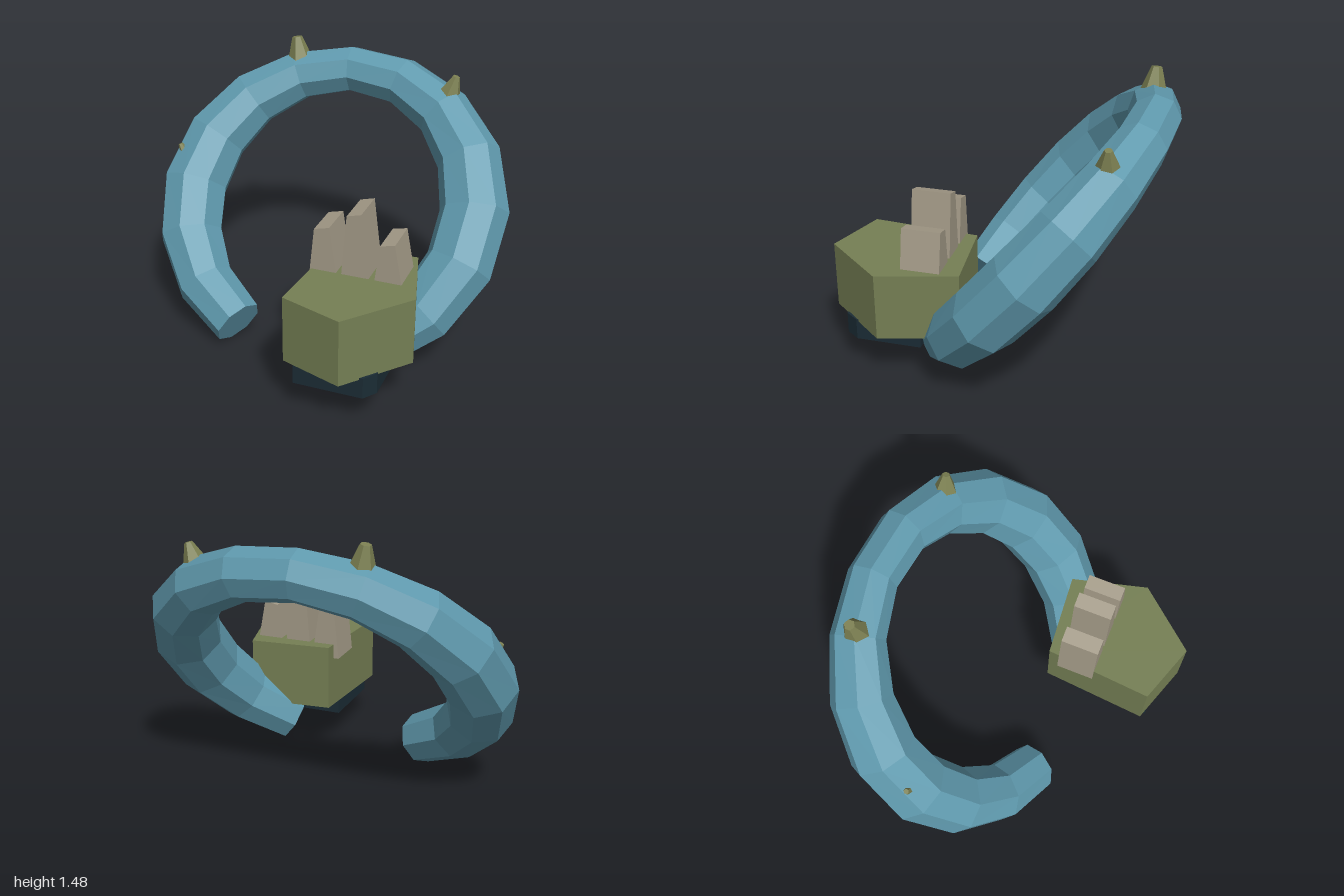
import * as THREE from 'three';

const material = (color) => new THREE.MeshStandardMaterial({ color, flatShading: true });
const BLUE = material(0x5f99ad);
const GREEN = material(0x757f54);
const OLIVE = material(0x7c8052);
const TAN = material(0xa39a87);
const DARK = material(0x1b2c35);

function addMesh(group, name, geometry, mat) {
  const mesh = new THREE.Mesh(geometry, mat);
  mesh.name = name;
  group.add(mesh);
  return mesh;
}

const shapeOf = (points) => new THREE.Shape(points.map(([x, y]) => new THREE.Vector2(x, y)));

// Upright prism from an [x, z] outline
function prism(outline, y0, y1) {
  const shape = shapeOf(outline.map(([x, z]) => [x, -z]));
  return new THREE.ExtrudeGeometry(shape, { depth: y1 - y0, bevelEnabled: false })
    .rotateX(-Math.PI / 2)
    .translate(0, y0, 0);
}

// Leaning open ring, thicker at its sides than at its top and ends
function ringGeometry() {
  const segments = 14, sides = 8;
  const start = THREE.MathUtils.degToRad(-58), end = THREE.MathUtils.degToRad(245);
  const step = (end - start) / segments;
  const center = new THREE.Vector3(0, 0.68, -0.2);
  const up = new THREE.Vector3(0, 0.76, -0.645).normalize();
  const normal = new THREE.Vector3(0, 0.645, 0.76).normalize();
  const radial = (a) => new THREE.Vector3(Math.cos(a), 0, 0).addScaledVector(up, Math.sin(a));
  const positions = [], index = [];

  for (let i = 0; i <= segments; i++) {
    const a = start + i * step;
    const c = center.clone().addScaledVector(radial(a), 0.812);
    const r = 0.13 + 0.057 * Math.cos(a) ** 2;
    const out = radial(THREE.MathUtils.clamp(a, start + step / 2, end - step / 2));
    for (let j = 0; j < sides; j++) {
      const t = (j / sides) * Math.PI * 2;
      const p = c.clone().addScaledVector(out, r * Math.cos(t)).addScaledVector(normal, r * Math.sin(t));
      positions.push(p.x, p.y, p.z);
    }
  }
  for (let i = 0; i < segments; i++) {
    for (let j = 0; j < sides; j++) {
      const k = (j + 1) % sides;
      const a = i * sides + j, b = i * sides + k;
      index.push(a, a + sides, b + sides, a, b + sides, b);
    }
  }
  // Flat end caps
  const last = segments * sides;
  for (let j = 1; j < sides - 1; j++) {
    index.push(0, j, j + 1, last, last + j + 1, last + j);
  }
  const geometry = new THREE.BufferGeometry();
  geometry.setAttribute('position', new THREE.Float32BufferAttribute(positions, 3));
  geometry.setIndex(index);
  geometry.computeVertexNormals();
  return geometry;
}

export function createModel() {
  const model = new THREE.Group();
  model.name = 'hornedRing';

  addMesh(model, 'ring', ringGeometry(), BLUE);

  // Blunt spikes on the ring: base, tip, base radius, tip radius
  const spikes = [
    [[-0.345, 1.31, -0.665], [-0.372, 1.465, -0.675], 0.08, 0.028],
    [[0.54, 1.23, -0.595], [0.585, 1.37, -0.6], 0.08, 0.02],
    [[-0.87, 0.85, -0.2], [-0.9, 0.91, -0.2], 0.03, 0.014],
  ];
  for (const [from, to, r0, r1] of spikes) {
    const a = new THREE.Vector3(...from), b = new THREE.Vector3(...to);
    const axis = b.clone().sub(a);
    const spike = addMesh(model, 'spike', new THREE.CylinderGeometry(r1, r0, axis.length(), 6), OLIVE);
    spike.position.copy(a).add(b).multiplyScalar(0.5);
    spike.quaternion.setFromUnitVectors(new THREE.Vector3(0, 1, 0), axis.normalize());
  }

  // Five-sided block on a dark foot with one cut corner
  const block = [[0.165, 0.155], [0.12, 0.74], [0.45, 0.85], [0.725, 0.525], [0.615, 0.115]];
  addMesh(model, 'block', prism(block, 0.27, 0.63), GREEN);
  const foot = [[0.18, 0.34], [0.18, 0.76], [0.545, 0.76], [0.595, 0.69], [0.595, 0.34]];
  addMesh(model, 'foot', prism(foot, 0.165, 0.28), DARK);

  // Tapered prongs with slanted tops, sunk into the block
  const prongs = [
    [[0.13, 0.55], [0.29, 0.55], [0.24, 0.875], [0.16, 0.855]],
    [[0.3, 0.55], [0.46, 0.55], [0.405, 0.975], [0.33, 0.955]],
    [[0.47, 0.55], [0.635, 0.55], [0.58, 0.84], [0.505, 0.825]],
  ];
  for (const outline of prongs) {
    const geometry = new THREE.ExtrudeGeometry(shapeOf(outline), { depth: 0.205, bevelEnabled: false });
    addMesh(model, 'prong', geometry.translate(0, 0, 0.217), TAN);
  }
  return model;
}
